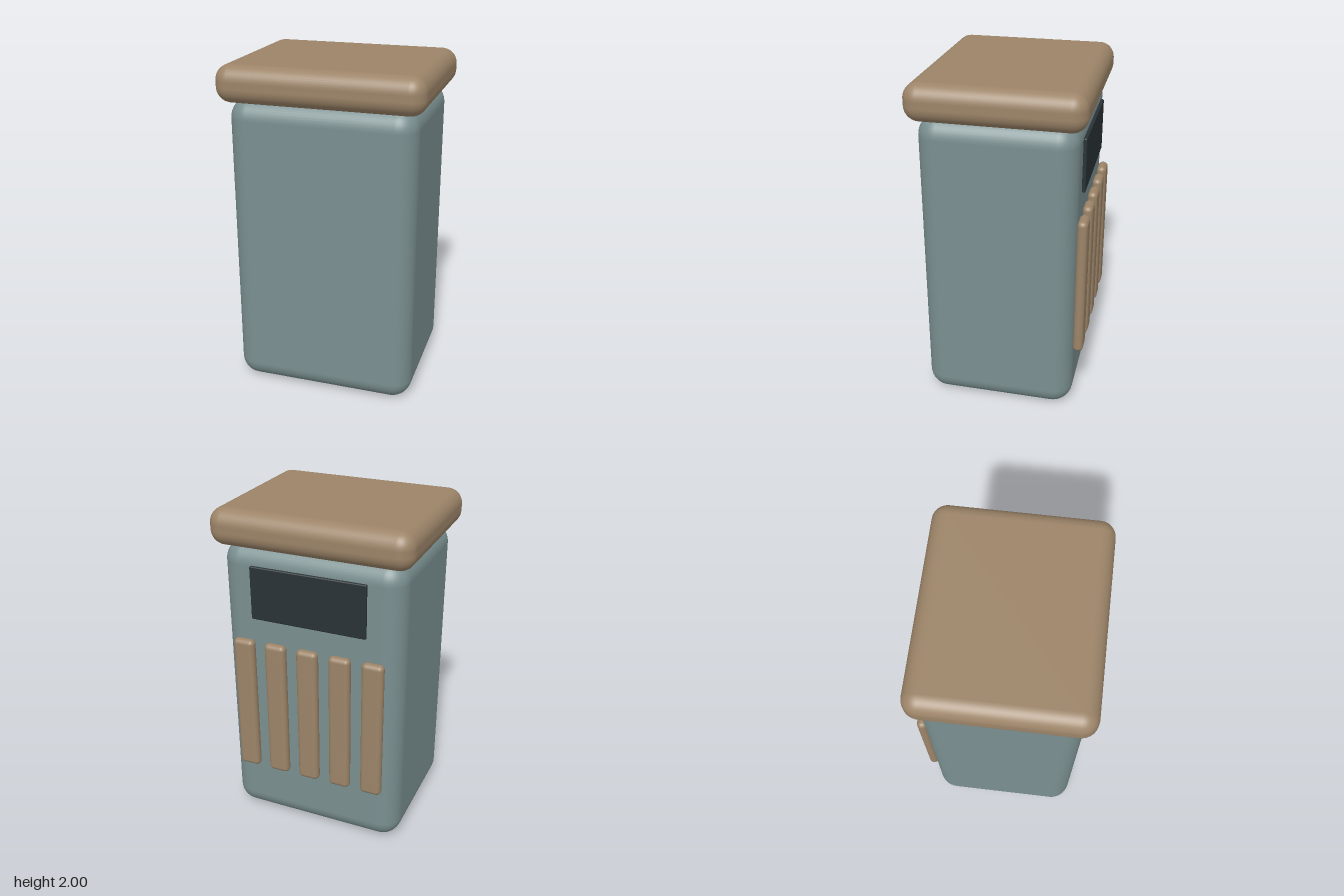
import * as THREE from 'three';
import { RoundedBoxGeometry } from 'three/addons/geometries/RoundedBoxGeometry.js';

export function createModel() {
  const group = new THREE.Group();
  const paint = new THREE.MeshStandardMaterial({ color: 0x7a8f90 });
  const wood = new THREE.MeshStandardMaterial({ color: 0x9c8468 });
  const dark = new THREE.MeshStandardMaterial({ color: 0x2a3336 });

  // Rounded block given by its size, edge radius and centre
  function block(name, material, [w, h, d], radius, [x, y, z], parent = group) {
    const mesh = new THREE.Mesh(new RoundedBoxGeometry(w, h, d, 6, radius), material);
    mesh.name = name;
    mesh.position.set(x, y, z);
    parent.add(mesh);
  }

  // Cabinet and overhanging lid
  block('body', paint, [1.1, 1.8, 0.9], 0.12, [0, 0.905, 0.003]);
  block('lid', wood, [1.2, 0.217, 1.0], 0.09, [0, 1.8915, 0.003]);

  // Dark panel on the back
  block('backPanel', dark, [0.7, 0.32, 0.021], 0.008, [0, 1.533, -0.458]);

  // Row of upright slats below the panel
  const slats = new THREE.Group();
  slats.name = 'slats';
  group.add(slats);
  for (let i = -2; i <= 2; i++) {
    block('slat', wood, [0.13, 0.865, 0.06], 0.028, [i * 0.2, 0.808, -0.474], slats);
  }

  return group;
}
